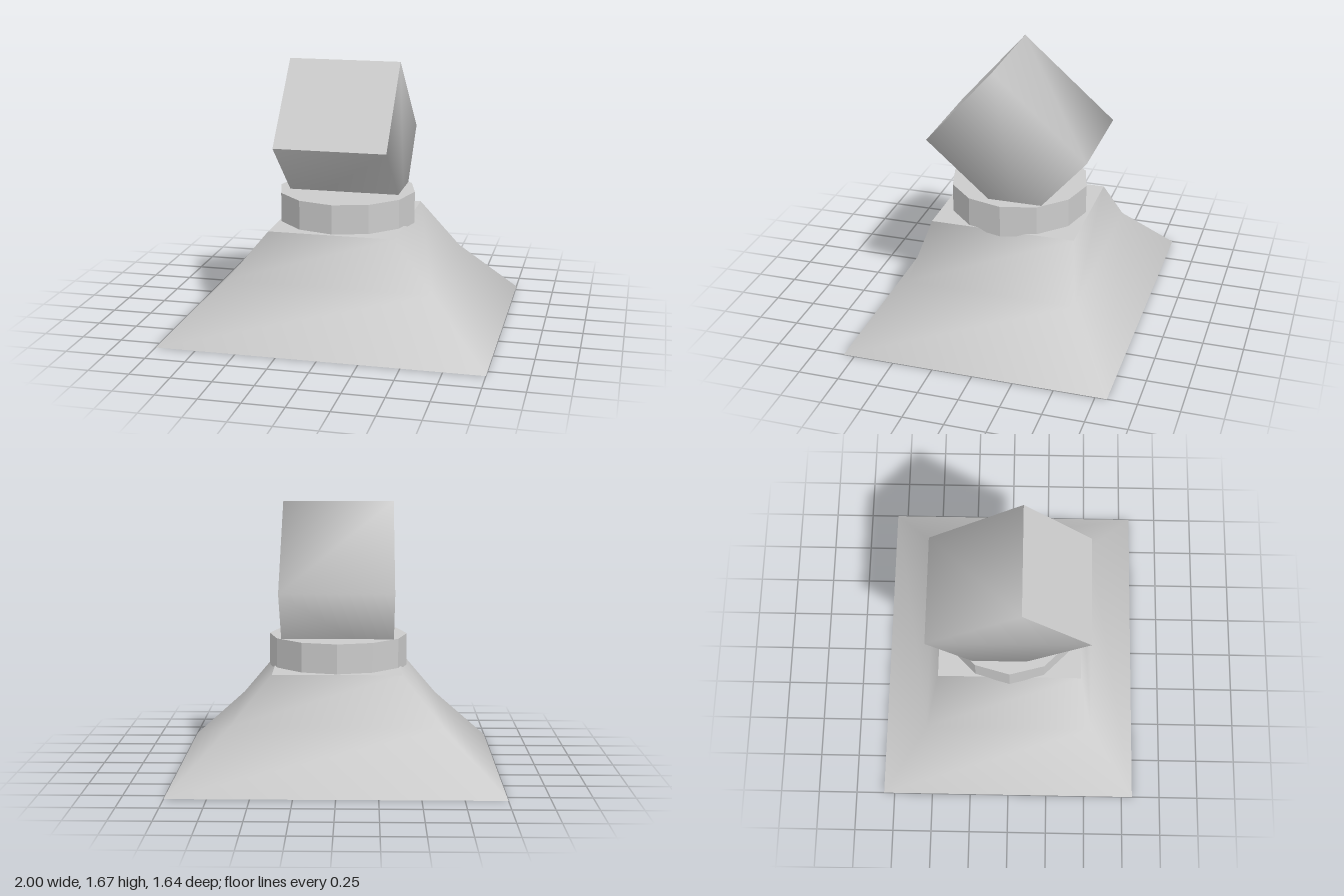
import * as THREE from 'three';

const grey = (extra = {}) => new THREE.MeshStandardMaterial({ color: 0xcccccc, ...extra });

// Softly shaded rectangular loft through rings [y, halfX, halfZ], with a crisp flat top.
function rectLoft(rings, closedBottom) {
  const pos = [], index = [];
  const corners = [[-1, 1], [1, 1], [1, -1], [-1, -1]];
  for (const [y, hx, hz] of rings)
    for (const [sx, sz] of corners) pos.push(sx * hx, y, sz * hz);

  for (let r = 0; r < rings.length - 1; r++) {
    for (let i = 0; i < 4; i++) {
      const a = r * 4 + i, b = r * 4 + (i + 1) % 4;
      index.push(a, b, b + 4, a, b + 4, a + 4);
    }
  }
  if (closedBottom) index.push(0, 2, 1, 0, 3, 2);

  // the top has its own corners so its edge stays sharp
  const t = pos.length / 3;
  pos.push(...pos.slice(-12));
  index.push(t, t + 1, t + 2, t, t + 2, t + 3);

  const g = new THREE.BufferGeometry();
  g.setAttribute('position', new THREE.Float32BufferAttribute(pos, 3));
  g.setIndex(index);
  g.computeVertexNormals();
  return g;
}

export function createModel() {
  const model = new THREE.Group();
  const add = (name, geometry, material) => {
    const mesh = new THREE.Mesh(geometry, material);
    mesh.name = name;
    model.add(mesh);
    return mesh;
  };

  // Hollow sloping base, open underneath
  add('base',
    rectLoft([[0, 1, 0.82], [0.36, 0.64, 0.53], [0.665, 0.39, 0.452]], false),
    grey({ side: THREE.DoubleSide }));

  // Twelve-sided collar sunk slightly into the base
  add('collar', new THREE.CylinderGeometry(0.43, 0.43, 0.2, 12), grey({ flatShading: true }))
    .position.y = 0.747;

  // Tilted head block, its flat face pointing forward and up
  const head = add('head',
    rectLoft([[-0.386, 0.345, 0.319], [0.386, 0.345, 0.319]], true), grey());
  head.position.set(0, 1.175, -0.01);
  head.rotation.x = 0.85;

  return model;
}
